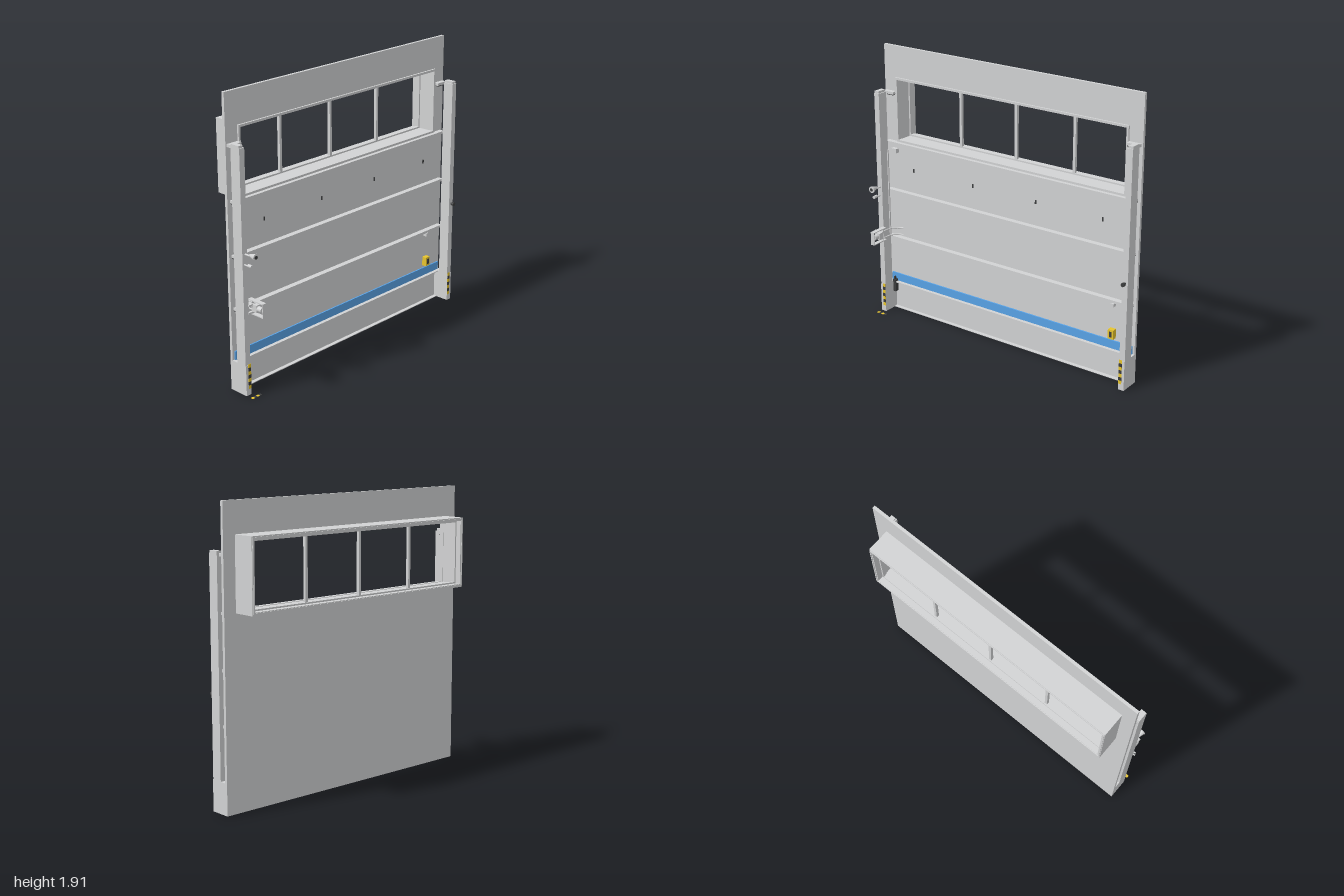
import * as THREE from 'three';

const mat = (name, color) => {
  const m = new THREE.MeshStandardMaterial({ color });
  m.name = name;
  return m;
};

export function createModel() {
  const root = new THREE.Group();
  const grey = mat('panelGrey', 0xd2d3d4);
  const dark = mat('darkRubber', 0x3c3d3e);
  const blue = mat('blueBand', 0x5aa5ea);
  const yellow = mat('safetyYellow', 0xf0cc30);

  const add = (name, geo, material, parent = root) => {
    const m = new THREE.Mesh(geo, material);
    m.name = name;
    parent.add(m);
    return m;
  };
  // box given by its limits on each axis
  const box = (name, material, x0, x1, y0, y1, z0, z1, parent = root) => {
    const m = add(name, new THREE.BoxGeometry(x1 - x0, y1 - y0, z1 - z0), material, parent);
    m.position.set((x0 + x1) / 2, (y0 + y1) / 2, (z0 + z1) / 2);
    return m;
  };
  // cylinder along z; r0 at the back, r1 at the front
  const rod = (name, material, x, y, z0, z1, r0, r1 = r0) => {
    const m = add(name, new THREE.CylinderGeometry(r1, r0, z1 - z0, 16), material);
    m.rotation.x = Math.PI / 2;
    m.position.set(x, y, (z0 + z1) / 2);
    return m;
  };
  // rectangular plate with a rectangular hole
  const rect = (P, x, y0, y1) => {
    const p = new P();
    p.moveTo(-x, y0); p.lineTo(x, y0); p.lineTo(x, y1); p.lineTo(-x, y1); p.closePath();
    return p;
  };
  const frame = (name, material, outer, inner, z0, z1) => {
    const s = rect(THREE.Shape, ...outer);
    s.holes.push(rect(THREE.Path, ...inner));
    const m = add(name, new THREE.ExtrudeGeometry(s, { depth: z1 - z0, bevelEnabled: false }), material);
    m.position.z = z0;
    return m;
  };

  // wall with the window opening
  frame('wallPanel', grey, [1, 0, 1.915], [0.89, 1.265, 1.685], -0.05, -0.03);
  box('bottomSill', grey, -0.96, 0.96, 0, 0.005, -0.03, -0.005);

  // window: front trim, deep rear surround, inner steps, mullions
  frame('windowTrim', grey, [0.905, 1.25, 1.7], [0.89, 1.265, 1.685], -0.03, -0.018);
  frame('windowSurround', grey, [0.912, 1.241, 1.712], [0.892, 1.262, 1.69], -0.207, -0.05);
  frame('windowSash', grey, [0.892, 1.262, 1.69], [0.882, 1.272, 1.678], -0.168, -0.14);
  frame('rearRim', grey, [0.908, 1.25, 1.705], [0.9, 1.258, 1.697], -0.212, -0.207);
  for (const x of [-0.448, 0, 0.448])
    box('mullion', grey, x - 0.009, x + 0.009, 1.265, 1.687, -0.16, -0.14);

  // horizontal section ledges with a dark joint below
  for (const y of [1.234, 0.885, 0.538]) {
    box('sectionLedge', grey, -0.98, 0.98, y, y + 0.017, -0.03, 0.008);
    box('sectionJoint', dark, -0.98, 0.98, y - 0.005, y, -0.03, -0.01);
  }
  box('blueBand', blue, -0.985, 0.985, 0.205, 0.262, -0.03, -0.02);
  box('bandLedge', grey, -0.98, 0.98, 0.199, 0.205, -0.03, 0.005);

  // clips across the upper section
  for (const x of [-0.74, -0.24, 0.26, 0.76])
    box('panelClip', dark, x - 0.004, x + 0.004, 1.067, 1.092, 0.003, 0.01);

  // side posts with feet, caps, guides and hazard stripes
  for (const s of [-1, 1]) {
    const post = new THREE.Group();
    post.name = s < 0 ? 'rightPost' : 'leftPost';
    root.add(post);
    const side = (name, m, a, b, ...r) =>
      box(name, m, Math.min(s * a, s * b), Math.max(s * a, s * b), ...r, post);
    side('postColumn', grey, 0.96, 1, 0.205, 1.6, 0.012, 0.087);
    side('postFoot', grey, 0.96, 1, 0, 0.205, -0.03, 0.09);
    side('postCap', grey, 0.967, 1, 1.6, 1.615, 0.015, 0.082);
    side('topBracket', grey, 0.905, 0.99, 1.584, 1.602, -0.03, 0.004);
    side('bracketSeal', dark, 0.91, 0.96, 1.579, 1.584, -0.02, 0.002);
    for (let i = 0; i < 7; i++)
      side('hazardStripe', i % 2 ? dark : yellow, 0.96, 0.982, 0.043 + i * 0.024, 0.067 + i * 0.024, 0.09, 0.092);
  }

  // small fittings on the panel
  box('upperSensor', grey, -0.945, -0.9, 1.17, 1.2, -0.03, -0.002);
  box('smallSensor', grey, 0.828, 0.852, 0.503, 0.525, -0.03, -0.004);
  box('warningBox', yellow, 0.82, 0.86, 0.281, 0.346, -0.03, 0.004);
  box('warningMark', dark, 0.831, 0.849, 0.295, 0.332, 0.004, 0.007);
  box('lowerLatch', dark, -0.957, -0.934, 0.13, 0.22, -0.02, 0.008);
  box('latchPin', dark, -0.95, -0.943, 0.22, 0.242, -0.01, 0.005);
  box('guideRod', grey, -0.96, -0.953, 0.56, 1.19, 0.014, 0.024);

  // knob on the left post
  rod('knobStem', dark, 0.98, 0.735, 0.087, 0.1, 0.007);
  rod('knob', dark, 0.98, 0.735, 0.1, 0.116, 0.013);

  // horn and lamp on the right post
  rod('hornBase', grey, -0.975, 0.938, 0.087, 0.125, 0.006);
  rod('hornBell', grey, -0.975, 0.943, 0.125, 0.174, 0.007, 0.022);
  rod('hornMouth', grey, -0.975, 0.943, 0.174, 0.179, 0.023);
  rod('hornCore', dark, -0.975, 0.943, 0.179, 0.181, 0.012);
  rod('lampStem', grey, -0.983, 0.873, 0.087, 0.125, 0.005);
  rod('lamp', grey, -0.983, 0.877, 0.12, 0.15, 0.011);

  // lock bracket: upright frame on edge, bars and handle
  const lock = new THREE.Group();
  lock.name = 'lockBracket';
  root.add(lock);
  const bar = (name, m, ...r) => box(name, m, ...r, lock);
  for (const y of [0.553, 0.641])
    bar('lockFrameRail', grey, -0.965, -0.935, y, y + 0.006, 0.087, 0.215);
  for (const z of [0.118, 0.21])
    bar('lockFrameEnd', grey, -0.965, -0.935, 0.559, 0.641, z, z + 0.005);
  bar('lockBody', grey, -0.97, -0.93, 0.578, 0.625, 0.13, 0.165);
  lock.add(rod('lockCylinder', grey, -0.952, 0.6, 0.16, 0.2, 0.018));
  for (const y of [0.573, 0.623]) {
    bar('crossBar', grey, -1, -0.93, y - 0.005, y + 0.005, 0.125, 0.133);
    const path = new THREE.CatmullRomCurve3([
      new THREE.Vector3(-0.945, y, 0.13), new THREE.Vector3(-0.935, y, 0.03),
      new THREE.Vector3(-0.91, y, 0), new THREE.Vector3(-0.87, y, -0.02)]);
    add('lockArm', new THREE.TubeGeometry(path, 16, 0.005, 8), grey, lock);
  }

  // floor marking in front of the right post
  for (let i = 0; i < 4; i++)
    box('floorMark', i % 2 ? dark : yellow, -1 + i * 0.02, -0.98 + i * 0.02, 0, 0.002, 0.125, 0.145);

  return root;
}
